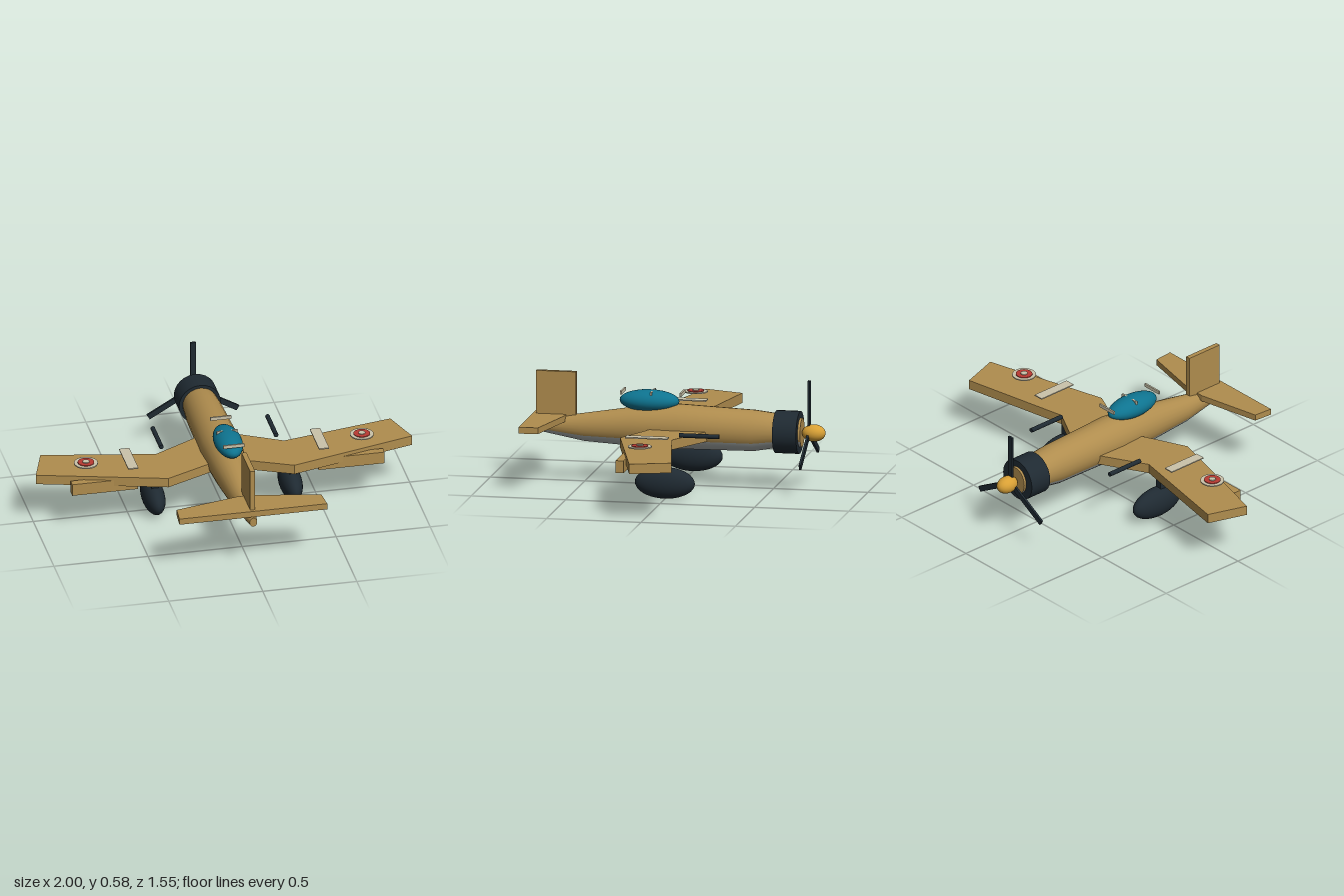
import * as THREE from 'three';

const mat = (name, color) => {
  const m = new THREE.MeshStandardMaterial({ color });
  m.name = name;
  return m;
};

export function createModel() {
  const tan = mat('tan paint', 0xb08d4e);
  const grey = mat('belly grey', 0xa9aeac);
  const dark = mat('dark metal', 0x1f2a32);
  const teal = mat('canopy glass', 0x0e7490);
  const gold = mat('spinner gold', 0xd8a035);
  const cream = mat('cream marking', 0xcbc3aa);
  const red = mat('red marking', 0xb83a32);

  const plane = new THREE.Group();
  plane.name = 'propellerPlane';

  const add = (name, geo, material, x = 0, y = 0, z = 0, parent = plane) => {
    const mesh = new THREE.Mesh(geo, material);
    mesh.name = name;
    mesh.position.set(x, y, z);
    parent.add(mesh);
    return mesh;
  };
  const box = (w, h, d) => new THREE.BoxGeometry(w, h, d);
  const ellipsoid = (rx, ry, rz) => new THREE.SphereGeometry(1, 28, 18).scale(rx, ry, rz);

  // Flat surface from a half outline in [x, z], mirrored across x = 0
  const slab = (half, thickness) => {
    const mirrored = half.slice().reverse().map(([x, z]) => [-x, z]);
    const shape = new THREE.Shape([...half, ...mirrored].map(([x, z]) => new THREE.Vector2(x, z)));
    return new THREE.ExtrudeGeometry(shape, { depth: thickness, bevelEnabled: false }).rotateX(Math.PI / 2);
  };

  // Fuselage: elliptical sections from tail to nose, the lower third in grey
  add('fuselage', fuselageGeometry(), [grey, tan]);

  // Engine cowl, spinner and three blades
  add('engineCowl', new THREE.CylinderGeometry(0.112, 0.112, 0.127, 24).rotateX(Math.PI / 2), dark, 0, 0.305, -0.577);
  add('spinner', ellipsoid(0.045, 0.045, 0.062), gold, 0, 0.305, -0.713);
  const propeller = new THREE.Group();
  propeller.name = 'propeller';
  propeller.position.set(0, 0.305, -0.688);
  for (let i = 0; i < 3; i++) {
    const blade = add('propellerBlade', box(0.03, 0.275, 0.012).translate(0, 0.1375, 0), dark, 0, 0, 0, propeller);
    blade.rotation.z = (i * Math.PI * 2) / 3;
  }
  plane.add(propeller);

  // Cranked wing and tail surfaces
  add('wing', slab([[0.05, -0.19], [0.34, -0.03], [0.93, -0.147], [1, 0.063], [0.335, 0.245], [0.05, 0.115]], 0.052), tan, 0, 0.308, 0);
  add('tailplane', slab([[0.05, 0.597], [0.385, 0.67], [0.393, 0.772]], 0.033), tan, 0, 0.353, 0);
  add('tailFin', box(0.026, 0.26, 0.21), tan, 0, 0.45, 0.65);

  // Canopy with three cross frames
  add('canopy', ellipsoid(0.073, 0.058, 0.158), teal, 0, 0.442, 0.157);
  for (const z of [-0.017, 0.139, 0.298]) add('canopyFrame', box(0.112, 0.018, 0.009), cream, 0, 0.488, z);

  // Parts repeated on both wings
  for (const s of [-1, 1]) {
    add('flap', box(0.35, 0.065, 0.042), tan, s * 0.655, 0.256, 0.149);
    add('landingStrut', box(0.036, 0.15, 0.055), dark, s * 0.367, 0.205, 0.037);
    add('wheel', ellipsoid(0.058, 0.083, 0.159), dark, s * 0.365, 0.085, 0.002);
    add('wingGun', new THREE.CylinderGeometry(0.012, 0.012, 0.212, 12).rotateX(Math.PI / 2), dark, s * 0.305, 0.327, -0.168);
    add('wingStripe', box(0.054, 0.006, 0.222), cream, s * 0.507, 0.35, 0.067);
    const rings = [[0.062, cream], [0.043, red], [0.018, cream]];
    rings.forEach(([r, m], i) =>
      add('roundelRing', new THREE.CylinderGeometry(r, r, 0.006, 28), m, s * 0.733, 0.348 + i * 0.004, 0.06));
  }
  return plane;
}

function fuselageGeometry() {
  // [z, centre y, half width, half height]
  const stations = [
    [0.775, 0.29, 0.02, 0.025], [0.5, 0.289, 0.062, 0.074], [0.25, 0.302, 0.09, 0.102],
    [0, 0.312, 0.11, 0.118], [-0.4, 0.306, 0.1, 0.108], [-0.52, 0.31, 0.092, 0.09],
    [-0.652, 0.304, 0.065, 0.076],
  ];
  const N = 24, belly = 8, pos = [], idx = [];
  const ring = ([z, cy, rx, ry]) => {
    for (let i = 0; i < N; i++) {
      const a = (-150 + (i * 360) / N) * (Math.PI / 180);
      pos.push(rx * Math.cos(a), cy + ry * Math.sin(a), z);
    }
  };
  stations.forEach(ring);
  const last = stations.length - 1;
  for (let i = 0; i < N; i++) {
    const j = (i + 1) % N;
    for (let k = 0; k < last; k++) {
      const a = k * N + i, b = k * N + j, c = a + N, d = b + N;
      idx.push(a, c, b, b, c, d);
    }
  }
  // End caps with their own rings so the rims stay sharp
  for (const k of [0, last]) {
    const start = pos.length / 3;
    ring(stations[k]);
    pos.push(0, stations[k][1], stations[k][0]);
    for (let i = 0; i < N; i++) {
      const a = start + i, b = start + ((i + 1) % N);
      idx.push(...(k === 0 ? [a, b, start + N] : [b, a, start + N]));
    }
  }
  const geo = new THREE.BufferGeometry();
  geo.setAttribute('position', new THREE.Float32BufferAttribute(pos, 3));
  geo.setIndex(idx);
  geo.computeVertexNormals();
  const bellyCount = belly * last * 6;
  geo.addGroup(0, bellyCount, 0);
  geo.addGroup(bellyCount, idx.length - bellyCount, 1);
  return geo;
}
